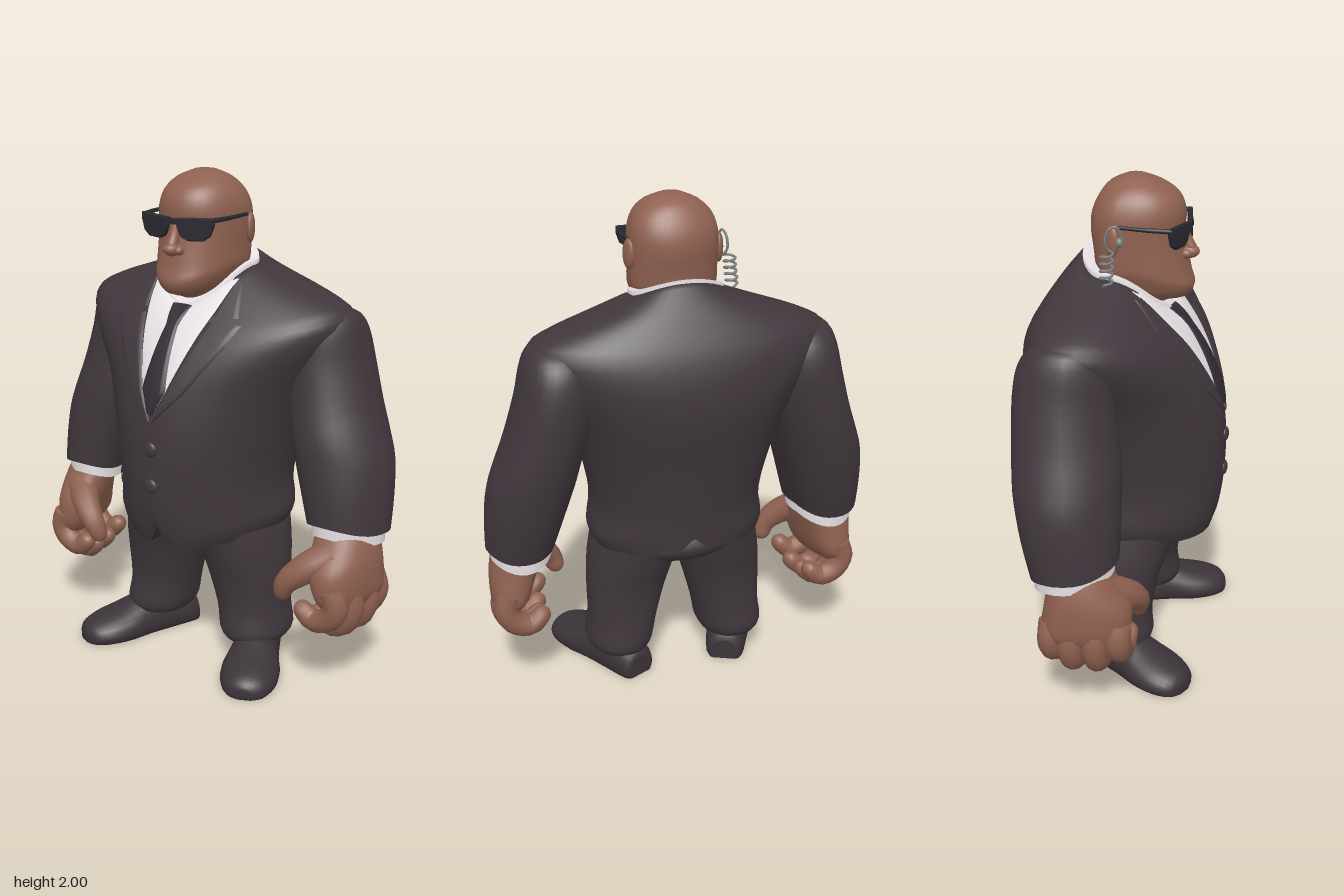
import * as THREE from 'three';

const paint = (name, color, side = THREE.FrontSide) => {
  const m = new THREE.MeshStandardMaterial({ color, side });
  m.name = name;
  return m;
};

// Skins closed rings of points; flip is for rings stacked upward in y
function skin(rings, flip) {
  const n = rings[0].length, all = [rings[0], ...rings], pos = [], idx = [];
  const tri = (a, b, c) => (flip ? idx.push(a, c, b) : idx.push(a, b, c));
  const mid = r => r.reduce((s, p) => s.add(p), new THREE.Vector3()).divideScalar(n);
  all.forEach(r => r.forEach(p => pos.push(p.x, p.y, p.z)));
  [mid(rings[0]), mid(rings.at(-1))].forEach(p => pos.push(p.x, p.y, p.z));
  const start = all.length * n, last = start - n;
  for (let j = 0; j < n; j++) {
    const k = (j + 1) % n;
    tri(start, k, j);
    tri(start + 1, last + j, last + k);
    for (let i = 1; i < all.length - 1; i++) {
      const a = i * n + j, b = i * n + k;
      tri(a, b, a + n);
      tri(b, b + n, a + n);
    }
  }
  const g = new THREE.BufferGeometry();
  g.setAttribute('position', new THREE.Float32BufferAttribute(pos, 3));
  g.setIndex(idx);
  g.computeVertexNormals();
  return g;
}

// Smoothly adds rows between rows of numbers
function refine(rows, k = 3) {
  const out = [];
  for (let i = 0; i < rows.length - 1; i++) {
    const [p, a, b, q] = [rows[Math.max(i - 1, 0)], rows[i], rows[i + 1], rows[Math.min(i + 2, rows.length - 1)]];
    for (let s = 0; s < k; s++) {
      const t = s / k;
      out.push(a.map((v, c) => {
        const m0 = (b[c] - p[c]) / 2, m1 = (q[c] - v) / 2, d = b[c] - v;
        return v + t * (m0 + t * (3 * d - 2 * m0 - m1 + t * (m0 + m1 - 2 * d)));
      }));
    }
  }
  return [...out, rows.at(-1)];
}

// Ring row: half width, side y, front y, front z, back y, back z, side z, centre x
function loft(rows, { n = 32, front = 1, back = 1, tweak } = {}) {
  return skin(refine(rows).map(([hw, ys, yf, zf, yb, zb, zs, cx]) =>
    Array.from({ length: n }, (_, j) => {
      const a = (j / n) * Math.PI * 2, c = Math.cos(a), s = Math.sin(a), e = s > 0 ? front : back;
      const bulge = Math.abs(s) ** e;
      const p = new THREE.Vector3(
        cx + hw * Math.sign(c) * Math.abs(c) ** e,
        ys + ((s > 0 ? yf : yb) - ys) * s * s,
        zs + ((s > 0 ? zf : zb) - zs) * bulge);
      if (tweak) tweak(p);
      return p;
    })), true);
}
const slice = ([y, x0, x1, z0, z1, tilt = 0]) =>
  [(x1 - x0) / 2, y, y + tilt, z1, y - tilt, z0, (z0 + z1) / 2, (x0 + x1) / 2];

// Tapered tube with a round tip
function finger(points, radii) {
  const curve = new THREE.CatmullRomCurve3(points.map(p => new THREE.Vector3(...p)));
  const m = 12, f = curve.computeFrenetFrames(m), rings = [];
  const ring = (i, r, push) => rings.push(Array.from({ length: 12 }, (_, j) => {
    const a = (j / 12) * Math.PI * 2;
    return curve.getPointAt(i / m).addScaledVector(f.normals[i], r * Math.cos(a))
      .addScaledVector(f.binormals[i], r * Math.sin(a)).addScaledVector(f.tangents[i], push);
  }));
  for (let i = 0; i <= m; i++) {
    const t = (i / m) * (radii.length - 1), k = Math.min(Math.floor(t), radii.length - 2);
    ring(i, THREE.MathUtils.lerp(radii[k], radii[k + 1], t - k), 0);
  }
  const r = radii.at(-1);
  [[0.85, 0.45], [0.55, 0.75], [0.2, 0.9]].forEach(([w, d]) => ring(m, r * w, r * d));
  return skin(rings, false);
}

function mirrored(geo) {
  const g = geo.clone().scale(-1, 1, 1);
  const old = g.index ? [...g.index.array] : Array.from({ length: g.attributes.position.count }, (_, i) => i);
  for (let i = 0; i < old.length; i += 3) [old[i + 1], old[i + 2]] = [old[i + 2], old[i + 1]];
  g.setIndex(old);
  return g;
}

const blob = (x, y, z, rx, ry, rz) => new THREE.SphereGeometry(1, 24, 16).scale(rx, ry, rz).translate(x, y, z);

export function createModel() {
  const suit = paint('suit', 0x40373d, THREE.DoubleSide), skinTone = paint('skin', 0x8f6150);
  const white = paint('shirt', 0xe6e0e3, THREE.DoubleSide), tieCol = paint('tie', 0x312b33, THREE.DoubleSide);
  const shoeCol = paint('shoe', 0x3b3338), black = paint('glasses', 0x2a2930), wire = paint('wire', 0x7d8182);
  const model = new THREE.Group();
  const add = (name, geo, mat) => {
    const m = new THREE.Mesh(geo, mat);
    m.name = name;
    model.add(m);
    return m;
  };
  const pair = (name, geo, mat) => {
    add(name + 'Left', geo, mat);
    add(name + 'Right', mirrored(geo), mat);
  };

  // Jacket body with broad shoulders and vents cut into the hem
  const jacket = add('jacket', loft([
    [0.335, 0.60, 0.555, 0.335, 0.64, -0.295, -0.03, 0],
    [0.365, 0.67, 0.64, 0.36, 0.70, -0.30, -0.03, 0],
    [0.35, 0.80, 0.80, 0.38, 0.80, -0.31, -0.03, 0],
    [0.39, 1.00, 1.00, 0.38, 1.00, -0.345, -0.05, 0],
    [0.46, 1.20, 1.18, 0.347, 1.20, -0.385, -0.07, 0],
    [0.56, 1.37, 1.30, 0.30, 1.34, -0.385, -0.08, 0],
    [0.592, 1.475, 1.38, 0.255, 1.46, -0.355, -0.09, 0],
    [0.50, 1.535, 1.43, 0.22, 1.56, -0.30, -0.09, 0],
    [0.31, 1.60, 1.46, 0.195, 1.64, -0.245, -0.07, 0],
    [0.195, 1.64, 1.48, 0.17, 1.70, -0.195, -0.06, 0],
  ], {
    n: 48, front: 1.06, back: 0.9,
    tweak: p => {
      if (p.y < 0.75) p.y += Math.max(0, 0.04 - Math.abs(p.x)) * 2 * (0.75 - p.y) / 0.19;
    },
  }), suit);
  jacket.updateMatrixWorld();

  // Cloth pieces laid over the jacket front; rows are [y, x from, x to]
  const ray = new THREE.Raycaster();
  const surfaceZ = (x, y) => {
    ray.set(new THREE.Vector3(x, y, 2), new THREE.Vector3(0, 0, -1));
    return ray.intersectObject(jacket)[0]?.point.z ?? 0;
  };
  const drape = (rows, lift) => {
    const cols = 10, steps = (rows.length - 1) * 6;
    const g = new THREE.PlaneGeometry(1, 1, cols, steps), p = g.attributes.position;
    for (let r = 0; r <= steps; r++) {
      const i = Math.min(Math.floor(r / 6), rows.length - 2), t = r / 6 - i;
      const [y, a, b] = rows[i].map((v, c) => THREE.MathUtils.lerp(v, rows[i + 1][c], t));
      for (let c = 0; c <= cols; c++) {
        const x = THREE.MathUtils.lerp(a, b, c / cols), edge = c === 0 || c === cols;
        p.setXYZ(r * (cols + 1) + c, x, y, surfaceZ(x, y) + lift * (edge ? 0.5 : 1));
      }
    }
    g.computeVertexNormals();
    return g;
  };
  add('shirtFront', drape([[1.6, -0.185, 0.185], [1.5, -0.16, 0.16], [1.4, -0.125, 0.125], [1.2, -0.058, 0.058], [1.12, -0.015, 0.015]], 0.007), white);
  add('tie', drape([[1.5, -0.046, 0.046], [1.43, -0.028, 0.028], [1.2, -0.055, 0.055], [1.11, -0.012, 0.012]], 0.016), tieCol);
  pair('lapel', drape([[1.455, 0.15, 0.285], [1.38, 0.12, 0.25], [1.2, 0.056, 0.13], [1.08, -0.003, 0.015]], 0.013), suit);
  pair('jacketCollar', drape([[1.58, 0.18, 0.215], [1.475, 0.155, 0.26]], 0.012), suit);
  pair('pocketFlap', drape([[0.8, 0.18, 0.30], [0.765, 0.18, 0.305]], 0.008), suit);
  [0.97, 0.82].forEach(y => add('button', blob(0.008, y, surfaceZ(0.008, y), 0.03, 0.03, 0.014), suit));

  // Shirt collar around the neck
  add('shirtCollar', loft([
    [0.19, 1.61, 1.46, 0.165, 1.67, -0.19, -0.06, 0],
    [0.184, 1.66, 1.505, 0.155, 1.713, -0.188, -0.06, 0],
  ]), white);

  // Sleeves and cuffs, turned inward at the front
  const turnIn = p => { p.x -= 0.22 * Math.max(0, p.z + 0.08); };
  pair('sleeve', loft([
    [0.67, 0.515, 0.798, -0.21, 0.11, 0.035], [0.80, 0.475, 0.793, -0.25, 0.11, 0.02],
    [0.93, 0.435, 0.778, -0.28, 0.105], [1.03, 0.41, 0.745, -0.295, 0.10],
    [1.15, 0.38, 0.70, -0.305, 0.08], [1.30, 0.36, 0.655, -0.31, 0.06],
    [1.41, 0.36, 0.63, -0.29, 0.05], [1.475, 0.38, 0.602, -0.24, 0.02], [1.505, 0.42, 0.55, -0.16, -0.04],
  ].map(slice), { front: 0.95, back: 0.9, tweak: turnIn }), suit);
  pair('cuff', loft([
    [0.622, 0.53, 0.78, -0.2, 0.095, 0.035], [0.72, 0.53, 0.78, -0.2, 0.095, 0.035],
  ].map(slice), { tweak: turnIn }), white);

  // Hands: palm, four curled fingers and a thumb
  pair('palm', loft([
    [0.38, 0.655, 0.765, -0.13, 0.14], [0.43, 0.62, 0.79, -0.165, 0.165],
    [0.52, 0.59, 0.795, -0.155, 0.165], [0.60, 0.57, 0.785, -0.145, 0.12], [0.68, 0.56, 0.76, -0.145, 0.075],
  ].map(slice), { front: 0.85, back: 0.85, tweak: turnIn }), skinTone);
  [[0.13, 0.045, -0.035], [0.045, 0, -0.015], [-0.045, 0.002, 0], [-0.122, 0.035, 0]].forEach(([z, up, dx], i) =>
    pair('finger' + (i + 1), finger(
      [[0.715 + dx, 0.47, z], [0.735 + dx, 0.38 + up * 0.5, z], [0.70 + dx, 0.30 + up, z], [0.635 + dx, 0.28 + up, z], [0.59 + dx, 0.315 + up, z + 0.005]],
      [0.05, 0.051, 0.05, 0.045, 0.038]), skinTone));
  pair('thumb', finger([[0.64, 0.58, 0.06], [0.555, 0.525, 0.13], [0.492, 0.465, 0.155], [0.472, 0.42, 0.15]],
    [0.07, 0.062, 0.052, 0.038]), skinTone);

  // Trousers
  add('hips', blob(0, 0.62, -0.02, 0.33, 0.11, 0.25), suit);
  pair('trouserLeg', loft([
    [0.11, 0.125, 0.365, -0.165, 0.13], [0.15, 0.105, 0.385, -0.185, 0.15],
    [0.25, 0.085, 0.372, -0.18, 0.14], [0.40, 0.045, 0.372, -0.19, 0.165],
    [0.52, 0.01, 0.362, -0.22, 0.20], [0.65, -0.01, 0.335, -0.25, 0.23],
  ].map(slice), { front: 0.92, back: 0.92 }), suit);

  // Shoes, turned outward
  const shoe = skin(refine([
    [-0.135, 0.055, 0.09], [-0.11, 0.08, 0.13], [0, 0.09, 0.165], [0.12, 0.10, 0.16], [0.22, 0.118, 0.125],
    [0.31, 0.112, 0.10], [0.375, 0.08, 0.075], [0.40, 0.03, 0.045],
  ]).map(([z, w, h]) => Array.from({ length: 24 }, (_, j) => {
    const a = (j / 24) * Math.PI * 2;
    return new THREE.Vector3(w * Math.cos(a), Math.max(0, h * (0.3 + 0.7 * Math.sin(a))), z);
  })), false);
  pair('shoe', shoe.rotateY(0.44).translate(0.245, 0, -0.035), shoeCol);

  // Head and neck
  add('head', loft([
    [0.145, 1.50, 1.47, 0.10, 1.58, -0.165, -0.04, 0],
    [0.135, 1.56, 1.525, 0.14, 1.64, -0.158, -0.03, 0],
    [0.145, 1.60, 1.545, 0.215, 1.67, -0.145, -0.02, 0],
    [0.162, 1.64, 1.59, 0.242, 1.69, -0.142, -0.02, 0],
    [0.17, 1.67, 1.64, 0.228, 1.71, -0.142, -0.02, 0],
    [0.171, 1.73, 1.72, 0.212, 1.75, -0.148, -0.02, 0],
    [0.173, 1.80, 1.80, 0.20, 1.80, -0.155, -0.02, 0],
    [0.171, 1.865, 1.87, 0.203, 1.86, -0.150, -0.02, 0],
    [0.150, 1.925, 1.93, 0.178, 1.92, -0.125, -0.01, 0],
    [0.105, 1.97, 1.97, 0.12, 1.97, -0.085, 0.01, 0],
    [0.04, 1.998, 1.998, 0.05, 1.998, -0.025, 0.01, 0],
  ], { n: 40, front: 0.94, back: 0.95 }), skinTone);
  add('nose', blob(0, 1.718, 0.218, 0.032, 0.027, 0.042), skinTone);
  add('noseBridge', finger([[0, 1.82, 0.195], [0, 1.77, 0.208], [0, 1.73, 0.226]], [0.018, 0.02, 0.024]), skinTone);
  pair('nostril', blob(0.027, 1.714, 0.212, 0.019, 0.018, 0.025), skinTone);
  pair('ear', blob(0, 0, 0, 0.016, 0.058, 0.032).rotateY(0.35).translate(0.18, 1.785, -0.033), skinTone);

  // Sunglasses
  const outline = new THREE.Shape([[0, 0.04], [0.15, 0.046], [0.15, 0.02], [0.135, -0.018], [0.11, -0.035], [0.05, -0.037], [0.024, -0.024], [0.01, 0.002]]
    .map(p => new THREE.Vector2(...p)));
  const lens = new THREE.ExtrudeGeometry(outline, { depth: 0.014, bevelEnabled: true, bevelSize: 0.003, bevelThickness: 0.003, bevelSegments: 1 });
  pair('lens', lens.rotateY(0.23).translate(0.015, 1.793, 0.212), black);
  add('glassesBridge', new THREE.BoxGeometry(0.05, 0.02, 0.016).translate(0, 1.822, 0.222), black);
  pair('temple', finger([[0.158, 1.832, 0.188], [0.176, 1.835, 0.11], [0.178, 1.838, -0.01]], [0.01, 0.008, 0.007]), black);

  // Coiled earpiece wire on the right ear
  const coil = [[-0.185, 1.80, 0.01], [-0.197, 1.845, -0.01], [-0.205, 1.83, -0.04], [-0.207, 1.78, -0.05]].map(p => new THREE.Vector3(...p));
  for (let i = 0; i <= 45; i++) {
    const a = (i / 10) * Math.PI * 2, t = i / 45;
    coil.push(new THREE.Vector3(-0.218 - 0.014 * t + 0.023 * Math.cos(a), 1.755 - 0.115 * t, -0.04 + 0.023 * Math.sin(a)));
  }
  coil.push(new THREE.Vector3(-0.2, 1.6, -0.06));
  add('earpieceWire', new THREE.TubeGeometry(new THREE.CatmullRomCurve3(coil), 220, 0.005, 6), wire);
  add('earpiece', blob(-0.19, 1.785, 0.0, 0.014, 0.018, 0.014), wire);

  return model;
}
